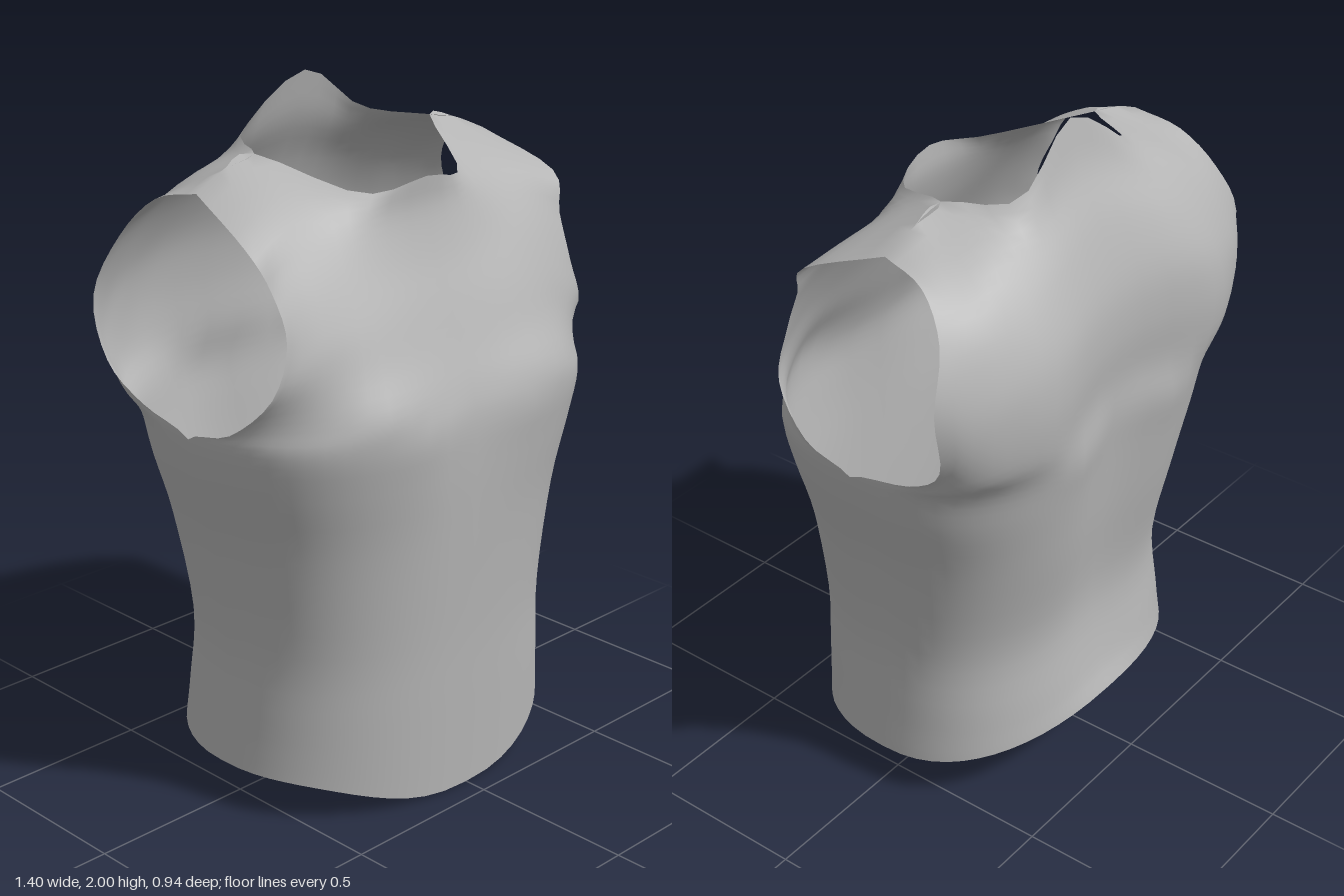
import * as THREE from 'three';
import { mergeVertices } from 'three/addons/utils/BufferGeometryUtils.js';

const HALF = 14;  // columns from the centre line to the side seam
const SUB = 4;    // surface rows per control row

// Lower body sections: y, half width, front depth, front groove, back depth, back groove
const SECTIONS = [
  [0.12, 0.565, 0.43, 0, 0.41, 0],
  [0.28, 0.548, 0.433, 0, 0.392, 0.02],
  [0.5, 0.535, 0.436, 0, 0.368, 0.03],
  [0.8, 0.575, 0.452, 0.005, 0.423, 0.055],
  [1.0, 0.63, 0.473, 0.022, 0.455, 0.07],
  [1.13, 0.657, 0.485, 0.04, 0.475, 0.08],
];

// Shoulder seam, from neck to armhole, shared by both panels
const SHOULDER = [[0.34, 1.845, -0.07], [0.45, 1.82, -0.07], [0.555, 1.775, -0.06]];

// Upper rows run from the centre line out to the armhole edge
const FRONT = [
  [[0, 1.22, 0.425], [0.3, 1.22, 0.45], [0.49, 1.21, 0.37], [0.6, 1.2, 0.26], [0.65, 1.18, 0.16]],
  [[0, 1.33, 0.38], [0.28, 1.33, 0.392], [0.45, 1.33, 0.355], [0.56, 1.32, 0.315], [0.61, 1.3, 0.285]],
  [[0, 1.45, 0.33], [0.26, 1.45, 0.337], [0.42, 1.45, 0.322], [0.51, 1.44, 0.305], [0.56, 1.44, 0.29]],
  [[0, 1.57, 0.28], [0.25, 1.58, 0.268], [0.4, 1.61, 0.24], [0.5, 1.6, 0.235], [0.565, 1.57, 0.24]],
  [[0, 1.69, 0.245], [0.23, 1.69, 0.215], [0.36, 1.74, 0.13], [0.48, 1.72, 0.145], [0.6, 1.68, 0.18]],
  [[0, 1.78, 0.245], [0.19, 1.755, 0.185], ...SHOULDER],
];
const BACK = [
  [[0, 1.25, -0.4], [0.33, 1.25, -0.465], [0.52, 1.23, -0.42], [0.62, 1.2, -0.33], [0.65, 1.18, -0.2]],
  [[0, 1.4, -0.41], [0.34, 1.39, -0.473], [0.53, 1.37, -0.43], [0.63, 1.33, -0.38], [0.67, 1.28, -0.32]],
  [[0, 1.55, -0.395], [0.31, 1.53, -0.45], [0.5, 1.5, -0.42], [0.62, 1.48, -0.375], [0.7, 1.47, -0.33]],
  [[0, 1.72, -0.335], [0.28, 1.67, -0.38], [0.45, 1.65, -0.36], [0.55, 1.64, -0.33], [0.63, 1.63, -0.295]],
  [[0, 1.86, -0.265], [0.25, 1.78, -0.295], [0.38, 1.77, -0.26], [0.5, 1.74, -0.23], [0.58, 1.74, -0.2]],
  [[0, 2, -0.23], [0.23, 1.86, -0.24], ...SHOULDER],
];

// Rounded half section with a soft groove on the centre line
function lowerRow(section, index, side) {
  const [y, w, zf, gf, zb, gb] = section;
  const depth = side > 0 ? zf : zb, groove = side > 0 ? gf : gb;
  const power = 2 / (2.4 + 0.06 * index);
  const row = [];
  for (let j = -HALF; j <= HALF; j++) {
    const a = (j / HALF) * Math.PI / 2;
    const x = w * Math.sign(j) * Math.abs(Math.sin(a)) ** power;
    const c = Math.abs(j) === HALF ? 0 : Math.cos(a) ** power;
    const z = depth * c - groove * Math.exp(-((x / 0.16) ** 2));
    // The hem dips at the front and lifts at the back
    const hem = index > 0 ? 0 : side > 0 ? -0.12 * c ** 5 : 0.06 * c * c;
    row.push(new THREE.Vector3(x, y + hem, side * (c === 0 ? 0 : z)));
  }
  return row;
}

// Mirrored smooth row through the control points
function upperRow(points) {
  const right = points.map(p => new THREE.Vector3(...p));
  const left = right.slice(1).reverse().map(p => new THREE.Vector3(-p.x, p.y, p.z));
  return new THREE.CatmullRomCurve3([...left, ...right], false, 'catmullrom', 0.5).getPoints(2 * HALF);
}

// Skin one panel by running a smooth curve up each column
function addPanel(side, upper, positions, indices) {
  const rows = [...SECTIONS.map((s, i) => lowerRow(s, i, side)), ...upper.map(upperRow)];
  const base = positions.length / 3;
  const count = (rows.length - 1) * SUB;
  const width = 2 * HALF + 1;
  const seamRows = (SECTIONS.length - 1) * SUB;
  for (let j = 0; j < width; j++) {
    const column = new THREE.CatmullRomCurve3(rows.map(r => r[j]), false, 'catmullrom', 0.5).getPoints(count);
    column.forEach((p, i) => {
      // Keep the side seam closed below the armhole
      const onSeam = (j === 0 || j === width - 1) && i <= seamRows;
      positions.push(p.x, p.y, onSeam ? 0 : p.z);
    });
  }
  const at = (i, j) => base + j * (count + 1) + i;
  for (let j = 0; j < width - 1; j++) {
    for (let i = 0; i < count; i++) {
      const a = at(i, j), b = at(i, j + 1), c = at(i + 1, j + 1), d = at(i + 1, j);
      if (side > 0) indices.push(a, b, c, a, c, d);
      else indices.push(a, c, b, a, d, c);
    }
  }
}

export function createModel() {
  const group = new THREE.Group();
  group.name = 'sleevelessTop';
  const positions = [], indices = [];
  addPanel(1, FRONT, positions, indices);
  addPanel(-1, BACK, positions, indices);

  // Weld the seams so that shading runs smoothly around the body
  let geometry = new THREE.BufferGeometry();
  geometry.setAttribute('position', new THREE.Float32BufferAttribute(positions, 3));
  geometry.setIndex(indices);
  geometry = mergeVertices(geometry, 1e-4);
  geometry.computeVertexNormals();

  const cloth = new THREE.MeshStandardMaterial({ color: 0xb4b4b4, side: THREE.DoubleSide });
  cloth.name = 'greyCloth';
  const body = new THREE.Mesh(geometry, cloth);
  body.name = 'bodyShell';
  group.add(body);
  return group;
}
